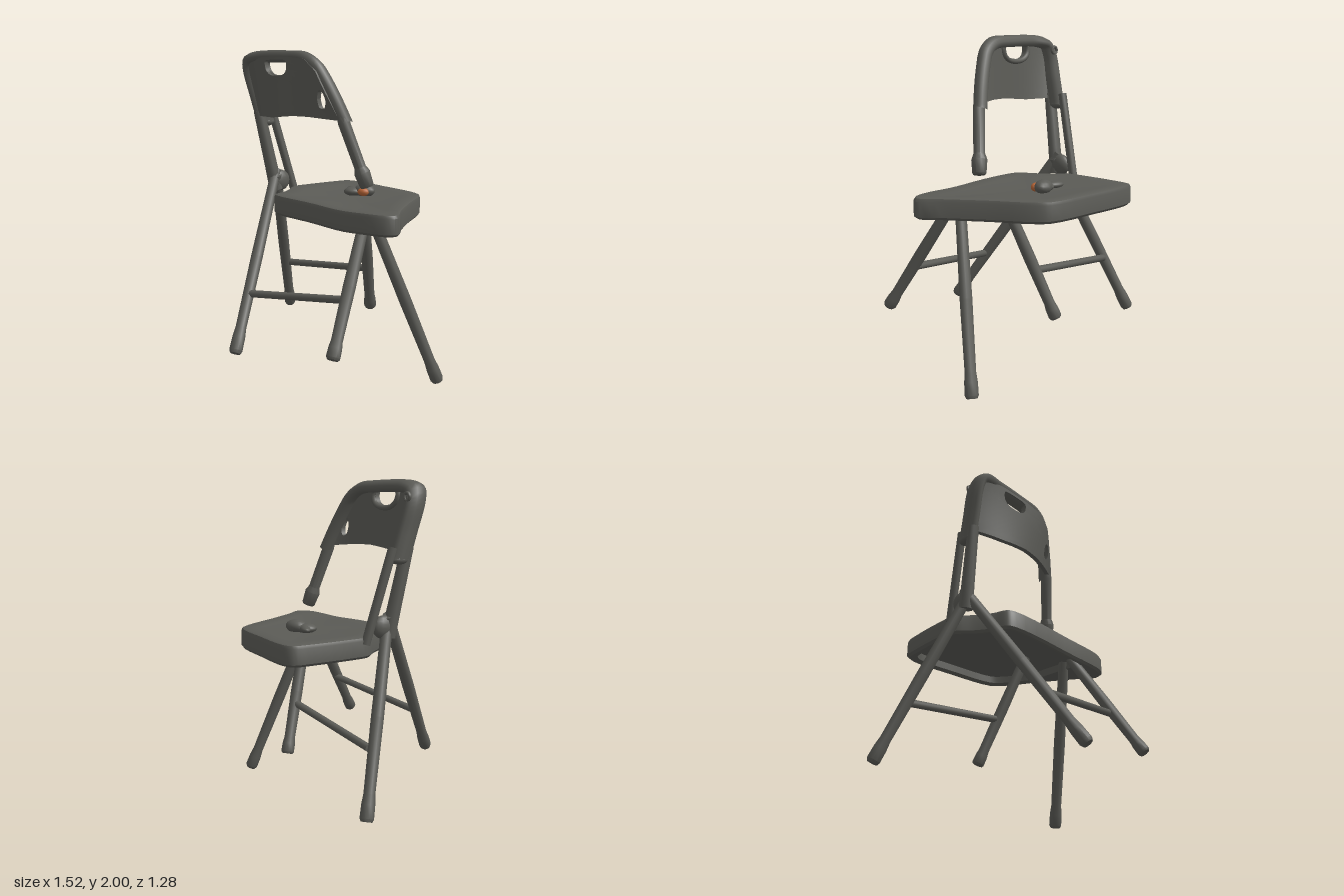
import * as THREE from 'three';
import { toCreasedNormals } from 'three/addons/utils/BufferGeometryUtils.js';

const V = (p) => new THREE.Vector3(...p);

// Splits long triangle edges so that a flat plate can be bent
function subdivide(geo, max) {
  const p = geo.toNonIndexed().attributes.position, out = [];
  const split = (a, b, c) => {
    const ab = a.distanceTo(b), bc = b.distanceTo(c), ca = c.distanceTo(a);
    if (Math.max(ab, bc, ca) <= max) {
      out.push(...a, ...b, ...c);
    } else if (ab >= bc && ab >= ca) {
      const m = a.clone().add(b).multiplyScalar(0.5);
      split(a, m, c);
      split(m, b, c);
    } else if (bc >= ca) {
      split(b, c, a);
    } else {
      split(c, a, b);
    }
  };
  const at = (i) => new THREE.Vector3().fromBufferAttribute(p, i);
  for (let i = 0; i < p.count; i += 3) split(at(i), at(i + 1), at(i + 2));
  return new THREE.BufferGeometry().setAttribute('position', new THREE.Float32BufferAttribute(out, 3));
}

export function createModel() {
  const group = new THREE.Group();
  const grey = new THREE.MeshStandardMaterial({ color: 0x5b5b56 });
  grey.name = 'weathered grey';
  const orange = new THREE.MeshStandardMaterial({ color: 0xb86638 });
  orange.name = 'rust orange';

  const add = (name, geo, mat = grey, crease = 0.7) => {
    const mesh = new THREE.Mesh(toCreasedNormals(geo, crease), mat);
    mesh.name = name;
    group.add(mesh);
    return mesh;
  };

  // Turned rod between two points; profile is [position along the rod, radius]
  const rod = (name, a, b, profile) => {
    const from = V(a), dir = V(b).sub(from), len = dir.length();
    const pts = [[0, 0], ...profile, [1, 0]].map(([t, r]) => new THREE.Vector2(r, t * len));
    const mesh = add(name, new THREE.LatheGeometry(pts, 10));
    mesh.position.copy(from);
    mesh.quaternion.setFromUnitVectors(new THREE.Vector3(0, 1, 0), dir.normalize());
  };
  const plain = (r) => [[0, r], [1, r]];

  const bead = (name, p, s, mat = grey, rot = 0) => {
    const mesh = add(name, new THREE.SphereGeometry(1, 14, 10), mat, 1.2);
    mesh.position.set(...p);
    mesh.scale.set(...s);
    mesh.rotation.y = rot;
  };

  // Seat: skewed outline with one cut corner, lofted through scaled loops, hollow underneath
  const outline = new THREE.CatmullRomCurve3([
    [0.745, 0.08], [0.66, -0.05], [0.53, -0.27], [0.4, -0.51], [0.33, -0.575], [0, -0.622],
    [-0.31, -0.64], [-0.37, -0.61], [-0.39, -0.5], [-0.405, -0.25], [-0.4, -0.13], [-0.32, -0.03],
    [-0.255, 0.08], [-0.225, 0.165], [-0.17, 0.19], [0.2, 0.19], [0.5, 0.18], [0.7, 0.14],
  ].map(([x, z]) => V([x, 0, z])), true, 'centripetal').getPoints(72).slice(0, -1);
  // Each loop: scale, height, furthest x
  const loops = [[0, 1.045, 1], [0.88, 1.035, 0.47], [0.89, 0.99, 0.48], [0.97, 0.98, 1], [1, 0.995, 1],
    [1, 1.085, 1], [0.985, 1.102, 1], [0.95, 1.108, 1], [0.75, 1.1, 1], [0.4, 1.09, 1], [0, 1.085, 1]];
  const n = outline.length, pos = [], idx = [];
  loops.forEach(([s, y, limit]) => outline.forEach((p) => {
    const x = Math.min(0.1 + (p.x - 0.1) * s, limit), z = -0.2 + (p.z + 0.2) * s;
    pos.push(x, y - 0.016 * x - 0.012 * Math.exp(-30 * ((x - 0.38) ** 2 + (z - 0.1) ** 2)), z);
  }));
  for (let j = 0; j < loops.length - 1; j++) {
    for (let i = 0; i < n; i++) {
      const a = j * n + i, b = j * n + (i + 1) % n;
      idx.push(a, b, a + n, b, b + n, a + n);
    }
  }
  const seat = new THREE.BufferGeometry();
  seat.setAttribute('position', new THREE.Float32BufferAttribute(pos, 3));
  seat.setIndex(idx);
  add('seat', seat, grey, 0.6);

  // Legs with flared feet, listed as foot and top
  const legs = {
    leftPivotBackLeg: [[-0.73, 0.165, -0.38], [-0.395, 1.2, 0.01]],
    leftPivotFrontLeg: [[-0.06, 0.205, 0.61], [-0.42, 1.23, -0.01]],
    outerBackLeg: [[0.725, 0.01, -0.335], [0.475, 1.03, 0.0]],
    outerFrontLeg: [[0.65, 0.335, 0.475], [0.475, 1.03, 0.06]],
    looseInnerLeg: [[0.08, 0.32, -0.405], [0.26, 1.04, -0.15]],
  };
  for (const [name, [foot, top]] of Object.entries(legs)) {
    rod(name, foot, top, [[0, 0.032], [0.015, 0.04], [0.08, 0.039], [0.13, 0.033], [0.5, 0.037], [1, 0.033]]);
  }

  // Crossbars
  rod('backCrossbar', [-0.59, 0.525, -0.265], [0.15, 0.615, -0.3], plain(0.023));
  rod('frontCrossbar', [-0.15, 0.52, 0.42], [0.57, 0.615, 0.29], plain(0.023));

  // The backrest is drawn flat, then leaned and bent by a rule
  const lean = (geo, offset) => {
    const p = geo.attributes.position;
    for (let i = 0; i < p.count; i++) {
      const x = p.getX(i), y = p.getY(i), z = p.getZ(i);
      p.setZ(i, offset(x, y, z) + 0.125 + 0.27 * (y - 1.9) - 0.04 * x);
    }
    return geo;
  };
  // The panel bulges towards its lower middle
  const bulge = (x, y, z) => z + 0.08 * Math.max(0, 1 - ((x + 0.1) / 0.37) ** 2) * Math.max(0, (1.97 - y) / 0.38);
  // The frame is deep on the intact side and slimmer elsewhere
  const deepen = (x, y, z) => z * (1.2 + 0.6 * THREE.MathUtils.smoothstep(-x, 0.3, 0.45));

  // Backrest panel with a grip hole and a ragged puncture
  const panel = new THREE.Shape([
    [-0.45, 1.59], [-0.25, 1.588], [-0.05, 1.605], [0.08, 1.603], [0.27, 1.585],
    [0.23, 1.7], [0.16, 1.87], [0.08, 1.94], [-0.1, 1.96], [-0.42, 1.96], [-0.475, 1.88],
  ].map(([x, y]) => new THREE.Vector2(x, y)));
  const gripPts = [[-0.275, 1.915], [-0.255, 1.938], [-0.1, 1.938], [-0.075, 1.915],
    [-0.085, 1.87], [-0.125, 1.847], [-0.22, 1.847], [-0.265, 1.875]];
  const holes = [gripPts,
    [[0.15, 1.71], [0.165, 1.755], [0.19, 1.75], [0.205, 1.7], [0.19, 1.655], [0.16, 1.66]]];
  for (const h of holes) {
    const curve = new THREE.SplineCurve([...h, h[0]].map(([x, y]) => new THREE.Vector2(x, y)));
    panel.holes.push(new THREE.Path(curve.getPoints(32).slice(0, -1)));
  }
  const panelGeo = new THREE.ExtrudeGeometry(panel, { depth: 0.03, bevelEnabled: false });
  panelGeo.translate(0, 0, 0.012);
  add('backPanel', lean(subdivide(panelGeo, 0.06), bulge));

  // Raised lip behind the grip hole
  const lip = new THREE.CatmullRomCurve3(
    gripPts.map(([x, y]) => V([-0.175 + (x + 0.175) * 1.15, 1.892 + (y - 1.892) * 1.2, 0.008])), true);
  add('gripLip', lean(new THREE.TubeGeometry(lip, 40, 0.016, 8, true), bulge), grey, 1.2);

  // Frame around the top of the backrest
  const arch = new THREE.CatmullRomCurve3([
    [-0.453, 1.55], [-0.464, 1.7], [-0.475, 1.87], [-0.455, 1.935], [-0.39, 1.956], [-0.1, 1.958],
    [0.05, 1.945], [0.125, 1.9], [0.17, 1.83], [0.23, 1.7], [0.278, 1.57],
  ].map(([x, y]) => V([x, y, 0])), false, 'centripetal');
  add('backFrame', lean(new THREE.TubeGeometry(arch, 60, 0.038, 10), deepen), grey, 1.2);
  bead('frameEndRight', [-0.453, 1.55, 0.049], [0.038, 0.03, 0.068]);

  // Split post on the intact side
  rod('rearPostStrip', [-0.4, 1.07, -0.152], [-0.455, 1.62, -0.005], plain(0.027));
  rod('frontPostStrip', [-0.41, 1.1, 0.0], [-0.455, 1.62, 0.1], [[0, 0.045], [0.3, 0.041], [1, 0.036]]);
  bead('pivotKnuckle', [-0.408, 1.16, -0.03], [0.042, 0.07, 0.075]);

  // Snapped post on the other side, with its bulged end
  rod('brokenPost', [0.375, 1.195, -0.06], [0.264, 1.615, 0.05],
    [[0, 0.036], [0.02, 0.042], [0.2, 0.048], [0.28, 0.035], [0.9, 0.036], [1, 0.03]]);

  // Bolt ring on the upper corner
  const bolt = add('cornerBolt', new THREE.TorusGeometry(0.022, 0.01, 8, 16), grey, 1.2);
  bolt.position.set(-0.47, 1.9, 0.08);

  // Debris lump lying on the seat
  bead('debrisBody', [0.1, 1.118, -0.315], [0.072, 0.042, 0.052], grey, 0.35);
  bead('debrisMiddle', [0.04, 1.11, -0.28], [0.065, 0.03, 0.055], grey, 0.9);
  bead('debrisTip', [-0.005, 1.115, -0.315], [0.062, 0.02, 0.03], grey, -0.3);
  bead('debrisRustPatch', [0.125, 1.115, -0.28], [0.038, 0.027, 0.03], orange, 0.35);

  return group;
}
